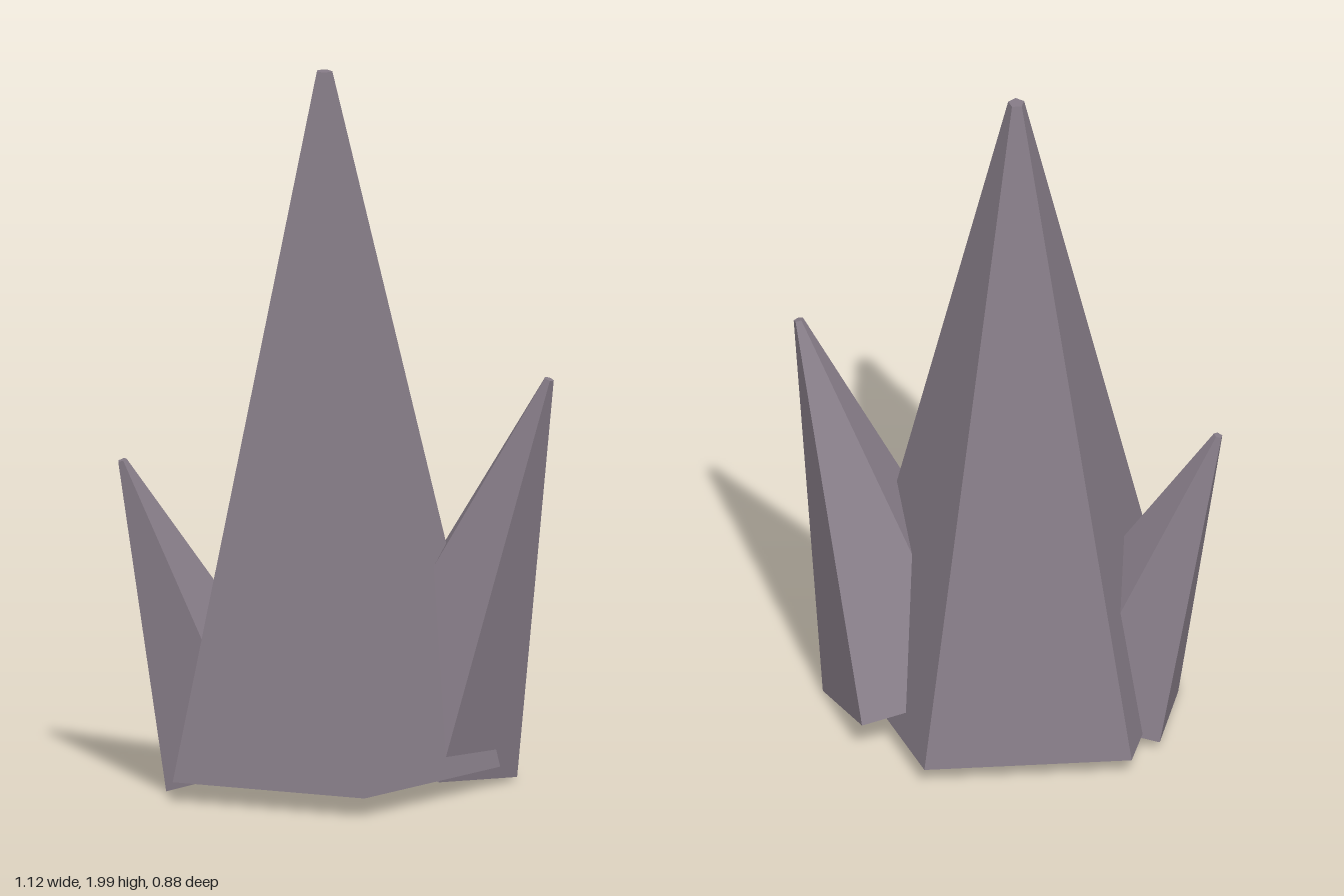
import * as THREE from 'three';

const rock = new THREE.MeshStandardMaterial({ color: 0x857b86, flatShading: true });
rock.name = 'mauveGreyRock';

// Five-sided tapering spike from base centre to tip; corner is the direction of one base corner
function spike(name, base, tip, radius, tipRadius, corner) {
  const b = new THREE.Vector3(...base);
  const axis = new THREE.Vector3(...tip).sub(b);
  const height = axis.length();
  axis.normalize();
  const z = new THREE.Vector3(...corner);
  z.addScaledVector(axis, -z.dot(axis)).normalize();
  const x = new THREE.Vector3().crossVectors(axis, z);

  const geometry = new THREE.CylinderGeometry(tipRadius, radius, height, 5);
  geometry.translate(0, height / 2, 0);
  geometry.applyMatrix4(new THREE.Matrix4().makeBasis(x, axis, z).setPosition(b));
  const mesh = new THREE.Mesh(geometry, rock);
  mesh.name = name;
  return mesh;
}

export function createModel() {
  const group = new THREE.Group();
  group.name = 'rockSpikes';
  group.add(
    // tall upright spike
    spike('mainSpike', [-0.055, 0.065, 0.045], [-0.055, 2, 0.045], 0.484, 0.023, [0, 0, -1]),
    // smaller spikes leaning outwards
    spike('leftSpike', [0.163, 0.11, -0.12], [0.545, 1.157, -0.116], 0.28, 0.014, [0.242, -0.105, -0.08]),
    spike('rightSpike', [-0.288, 0.09, 0.118], [-0.549, 0.922, 0.296], 0.243, 0.013, [-0.122, -0.08, 0.192]),
  );
  return group;
}
